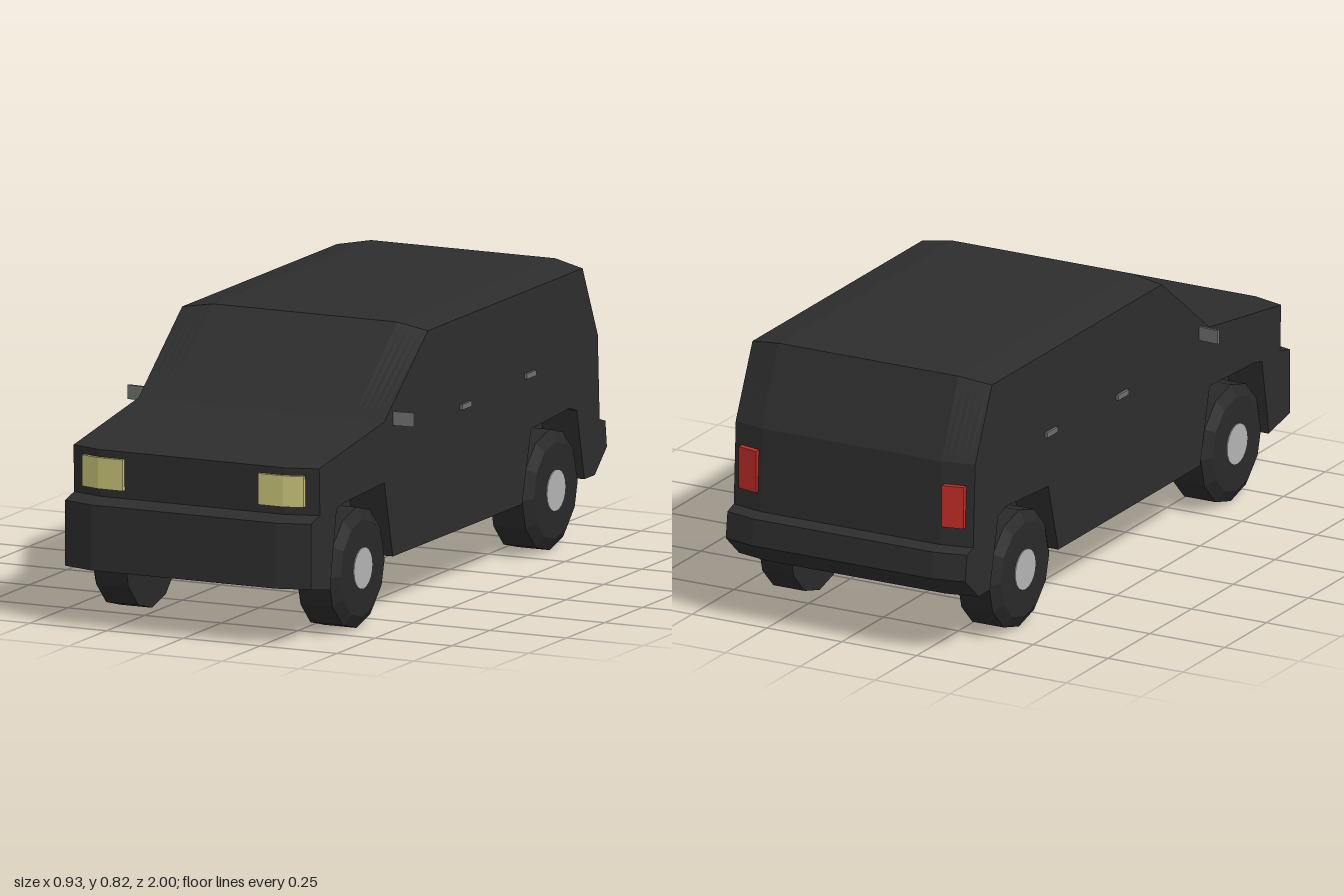
import * as THREE from 'three';

const mat = (name, color, opts = {}) => {
  const m = new THREE.MeshStandardMaterial({ color, ...opts });
  m.name = name;
  return m;
};

// Side outline as [z, y]; wheel arches are cut into the outer panels only
const upper = [
  [0.84, 0.15], [1, 0.175], [1, 0.37], [0.94, 0.385], [0.945, 0.525], [0.487, 0.587], [0.2, 0.823],
  [-0.84, 0.823], [-0.94, 0.59], [-0.952, 0.337], [-0.99, 0.325], [-1, 0.246], [-0.92, 0.176],
];
const rearArch = [[-0.83, 0.176], [-0.78, 0.39], [-0.73, 0.405], [-0.48, 0.39], [-0.42, 0.176]];
const frontArch = [[0.43, 0.176], [0.487, 0.405], [0.75, 0.395], [0.8, 0.385], [0.835, 0.2]];

// Extrude a [z, y] outline sideways between x0 and x1 (x0 < x1)
function slab(points, x0, x1, steps = 1) {
  const shape = new THREE.Shape(points.map(([z, y]) => new THREE.Vector2(z, y)));
  const g = new THREE.ExtrudeGeometry(shape, { depth: x1 - x0, steps, bevelEnabled: false });
  g.rotateY(-Math.PI / 2);
  g.translate(x1, 0, 0);
  return g;
}

// Chamfer the roof, nose and tail toward the flanks
function taper(g) {
  const p = g.attributes.position;
  for (let i = 0; i < p.count; i++) {
    const t = Math.max(0, (Math.abs(p.getX(i)) - 0.3) / 0.1);
    const y = p.getY(i), z = p.getZ(i);
    if (y > 0.8) p.setY(i, y - 0.017 * t);
    if (z > 0.9) p.setZ(i, z - 0.03 * t);
    if (z < -0.8 && (y > 0.2 || z < -0.9)) p.setZ(i, z + 0.022 * t);
  }
  g.computeVertexNormals();
  return g;
}

// Thin lamp bent around a corner: plan outline [x, z] raised from y0 to y1
function lamp(plan, y0, y1, s) {
  const pts = plan.map(([x, z]) => new THREE.Vector2(x * s, -z));
  const g = new THREE.ExtrudeGeometry(new THREE.Shape(pts), { depth: y1 - y0, bevelEnabled: false });
  g.rotateX(-Math.PI / 2);
  g.translate(0, y0, 0);
  return g;
}

export function createModel() {
  const model = new THREE.Group();
  model.name = 'car';
  const paint = mat('body charcoal', 0x2d2d2d);
  const rubber = mat('tyre black', 0x292929, { flatShading: true });
  const silver = mat('hub silver', 0xb4b4b4);
  const trim = mat('trim grey', 0x707070);
  const yellow = mat('headlight yellow', 0xc8c278);
  const red = mat('taillight red', 0xc02c26);

  const add = (name, geo, material, parent = model) => {
    const m = new THREE.Mesh(geo, material);
    m.name = name;
    parent.add(m);
    return m;
  };

  // Body core and arched flanks
  add('bodyCore', slab([...upper, [0.8, 0.176]], -0.28, 0.28), paint);
  const flank = [...upper, ...rearArch, ...frontArch];
  add('leftFlank', taper(slab(flank, 0.28, 0.4, 6)), paint);
  add('rightFlank', taper(slab(flank, -0.4, -0.28, 6)), paint);

  const tyreProfile = [[0, 0.28], [0.18, 0.28], [0.18, 0.385], [0.145, 0.405], [0, 0.405]]
    .map(([r, y]) => new THREE.Vector2(r, y));

  for (const [side, s] of [['left', 1], ['right', -1]]) {
    // Wheels
    for (const [end, z] of [['Front', 0.64], ['Rear', -0.63]]) {
      const wheel = new THREE.Group();
      wheel.name = `${side}${end}Wheel`;
      wheel.position.set(0, 0.18, z);
      wheel.rotation.z = -s * Math.PI / 2;
      add('tyre', new THREE.LatheGeometry(tyreProfile, 12), rubber, wheel);
      const hub = add('hub', new THREE.CylinderGeometry(0.062, 0.062, 0.008, 20), silver, wheel);
      hub.position.y = 0.404;
      model.add(wheel);
    }

    // Lamps wrapping the corners
    add(`${side}Headlight`, lamp([
      [0.22, 0.935], [0.22, 0.955], [0.3, 0.955], [0.36, 0.938], [0.36, 0.918], [0.3, 0.935],
    ], 0.41, 0.503, s), yellow);
    add(`${side}Taillight`, lamp([
      [0.31, -0.935], [0.31, -0.959], [0.375, -0.945], [0.375, -0.921],
    ], 0.395, 0.523, s), red);

    // Mirror and door handles
    const mirror = add(`${side}Mirror`, new THREE.BoxGeometry(0.075, 0.042, 0.009), trim);
    mirror.position.set(s * 0.429, 0.587, 0.424);
    mirror.rotation.y = s * 0.08;
    for (const [end, y, z] of [['Front', 0.54, -0.042], ['Rear', 0.554, -0.468]]) {
      const handle = add(`${side}${end}Handle`, new THREE.BoxGeometry(0.016, 0.016, 0.062), trim);
      handle.position.set(s * 0.4, y, z);
    }
  }
  return model;
}
